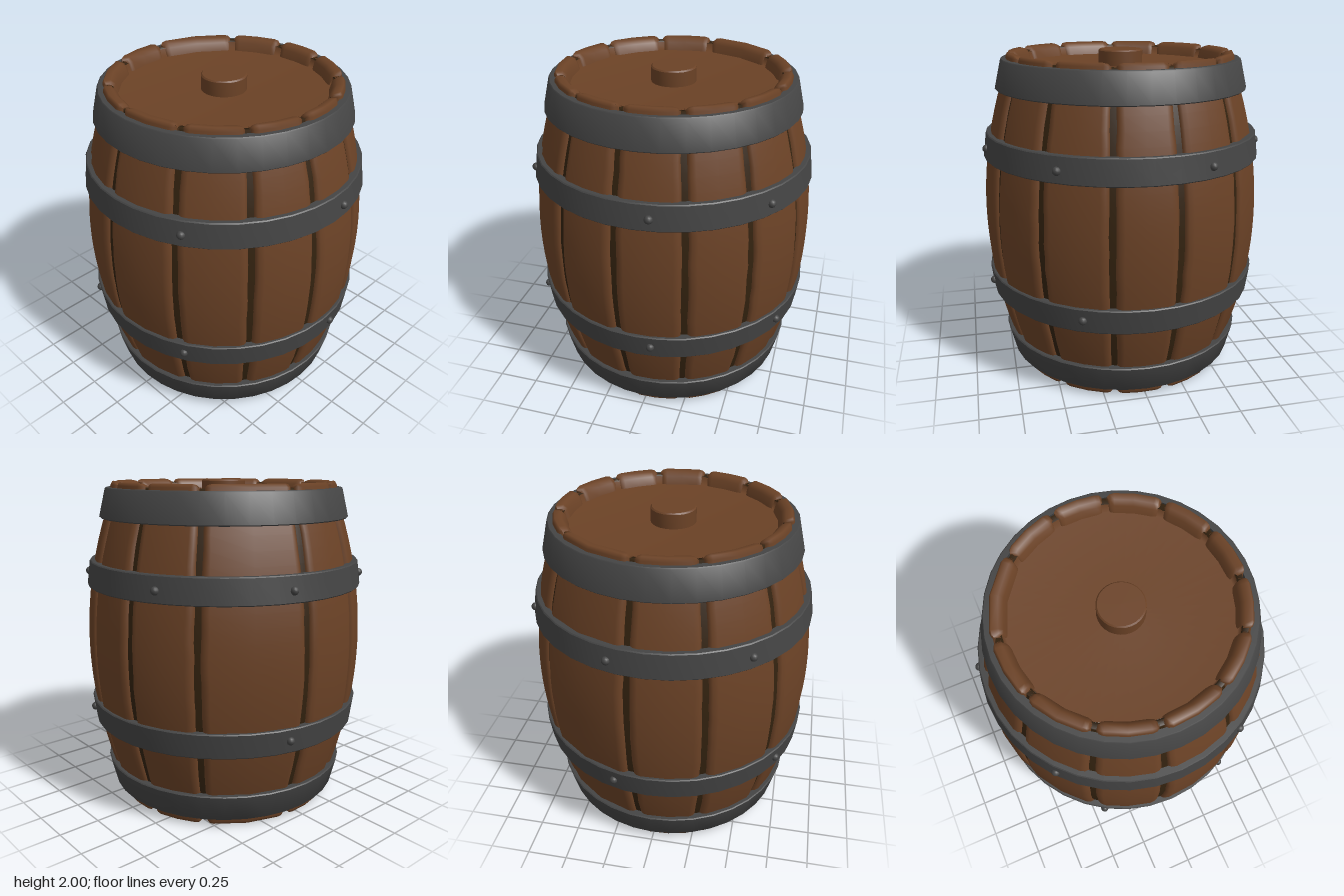
import * as THREE from 'three';
import { toCreasedNormals } from 'three/addons/utils/BufferGeometryUtils.js';

const H = 1.99;
const RAD = Math.PI / 180;

function makeMaterial(name, color) {
  const m = new THREE.MeshStandardMaterial({ color });
  m.name = name;
  return m;
}

// Bulging outer radius of the barrel at height y
function radiusAt(y) {
  const t = (y - H / 2) / (H / 2);
  return Math.max(0.87 - 0.2 * t * t, 0.7);
}

function makeRandom(seed) {
  return () => {
    seed = (seed * 16807) % 2147483647;
    return seed / 2147483647;
  };
}

function lathe(points, segments) {
  return new THREE.LatheGeometry(points.map(([x, y]) => new THREE.Vector2(x, y)), segments);
}

// Lengthwise rows of a stave: radius, height, and the direction into the wood
function staveRows() {
  const end = [
    [0.61, 0.085, 1, 0],
    [0.625, 0.03, 0.7, 0.7],
    [0.65, 0.006, 0, 1],
    [0.688, 0, -0.3, 0.9],
    [0.7, 0.02, -1, 0],
  ];
  const rows = [...end];
  for (let i = 1; i < 24; i++) {
    const y = 0.02 + (H - 0.04) * i / 24;
    rows.push([radiusAt(y), y, -1, 0]);
  }
  for (const [r, y, dr, dy] of [...end].reverse()) rows.push([r, H - y, dr, -dy]);
  return rows;
}

// One stave between two angles, with rounded and slightly worn long edges
function staveGeometry(from, to, random) {
  const half = (to - from) / 2, mid = (from + to) / 2;
  const across = [[0.06, 0.055], [0.045, 0.02], [0.1, 0.006], [0.19, 0]]; // distance from seam * 1/2, depth
  const rows = staveRows();
  const pos = [], index = [];
  const n = across.length * 2 + 1;
  rows.forEach(([r, y, dr, dy]) => {
    const put = (angle, d) => {
      const rr = r + dr * d;
      pos.push(Math.sin(angle) * rr, y + dy * d, Math.cos(angle) * rr);
    };
    const wearL = random() * 0.007, wearR = random() * 0.007;
    const inset = [0.012, 0.02, 0.04, 0.075];
    across.forEach(([, d], i) => put(mid - half + inset[i] + wearL, d));
    put(mid, 0);
    for (let i = across.length - 1; i >= 0; i--) put(mid + half - inset[i] - wearR, across[i][1]);
  });
  for (let j = 0; j < rows.length - 1; j++) {
    for (let i = 0; i < n - 1; i++) {
      const a = j * n + i;
      index.push(a, a + 1, a + n, a + 1, a + n + 1, a + n);
    }
  }
  const g = new THREE.BufferGeometry();
  g.setAttribute('position', new THREE.Float32BufferAttribute(pos, 3));
  g.setIndex(index);
  g.computeVertexNormals();
  return g;
}

export function createModel() {
  const wood = makeMaterial('brown wood', 0x6b4226);
  const gap = makeMaterial('dark seam', 0x33220f);
  const iron = makeMaterial('dark iron', 0x444444);

  const model = new THREE.Group();
  model.name = 'barrel';
  const add = (name, geometry, material, parent = model) => {
    const mesh = new THREE.Mesh(geometry, material);
    mesh.name = name;
    parent.add(mesh);
    return mesh;
  };

  // Staves, unevenly wide
  const seams = [-8, 19.5, 46, 74.6, 101, 130, 173, 203, 235, 264, 296, 325, 352];
  const staves = new THREE.Group();
  staves.name = 'staves';
  model.add(staves);
  const random = makeRandom(77);
  for (let i = 0; i < seams.length - 1; i++) {
    add('stave', staveGeometry(seams[i] * RAD, seams[i + 1] * RAD, random), wood, staves);
  }

  // Dark core showing through the seams
  const core = [[0.635, 0.09], [0.64, 0.03], [0.675, 0.024]];
  for (let i = 0; i <= 20; i++) {
    const y = 0.04 + (H - 0.08) * i / 20;
    core.push([radiusAt(y) - 0.024, y]);
  }
  core.push([0.675, H - 0.024], [0.64, H - 0.03], [0.635, H - 0.09]);
  add('seamCore', lathe(core, 52), gap);

  // Recessed heads, shaded softly into the rim
  add('topHead', lathe([[0.64, H - 0.03], [0.625, H - 0.08], [0, H - 0.085]], 40), wood);
  add('bottomHead', lathe([[0, 0.085], [0.625, 0.08], [0.64, 0.03]], 40), wood);

  // Bung
  const bung = lathe([[0.135, 1.89], [0.135, 1.992], [0.127, 2], [0, 2]], 28);
  add('bung', toCreasedNormals(bung, 0.6), wood);

  // Iron hoops: bottom height, top height, bottom radius, top radius
  const hoops = [
    [0.05, 0.22, 0.735, 0.775],
    [0.49, 0.645, 0.845, 0.864],
    [1.365, 1.52, 0.864, 0.845],
    [1.775, 1.955, 0.775, 0.735],
  ];
  for (const [y0, y1, r0, r1] of hoops) {
    const b = 0.006, t = 0.045;
    const section = [
      [r0 - t, y0], [r0 - b, y0], [r0, y0 + b], [r1, y1 - b], [r1 - b, y1], [r1 - t, y1], [r0 - t, y0],
    ];
    add('hoop', toCreasedNormals(lathe(section, 36), 0.6), iron);
  }

  // Rivets on the two middle hoops
  const rivet = new THREE.SphereGeometry(0.025, 12, 8);
  const rivets = [
    [1.435, [6.4, 54, 114, 166, 221, 299.4]],
    [0.57, [6, 63, 166, 239, 298.5]],
  ];
  for (const [y, angles] of rivets) {
    for (const angle of angles) {
      const a = angle * RAD;
      add('rivet', rivet, iron).position.set(Math.sin(a) * 0.853, y, Math.cos(a) * 0.853);
    }
  }
  return model;
}
